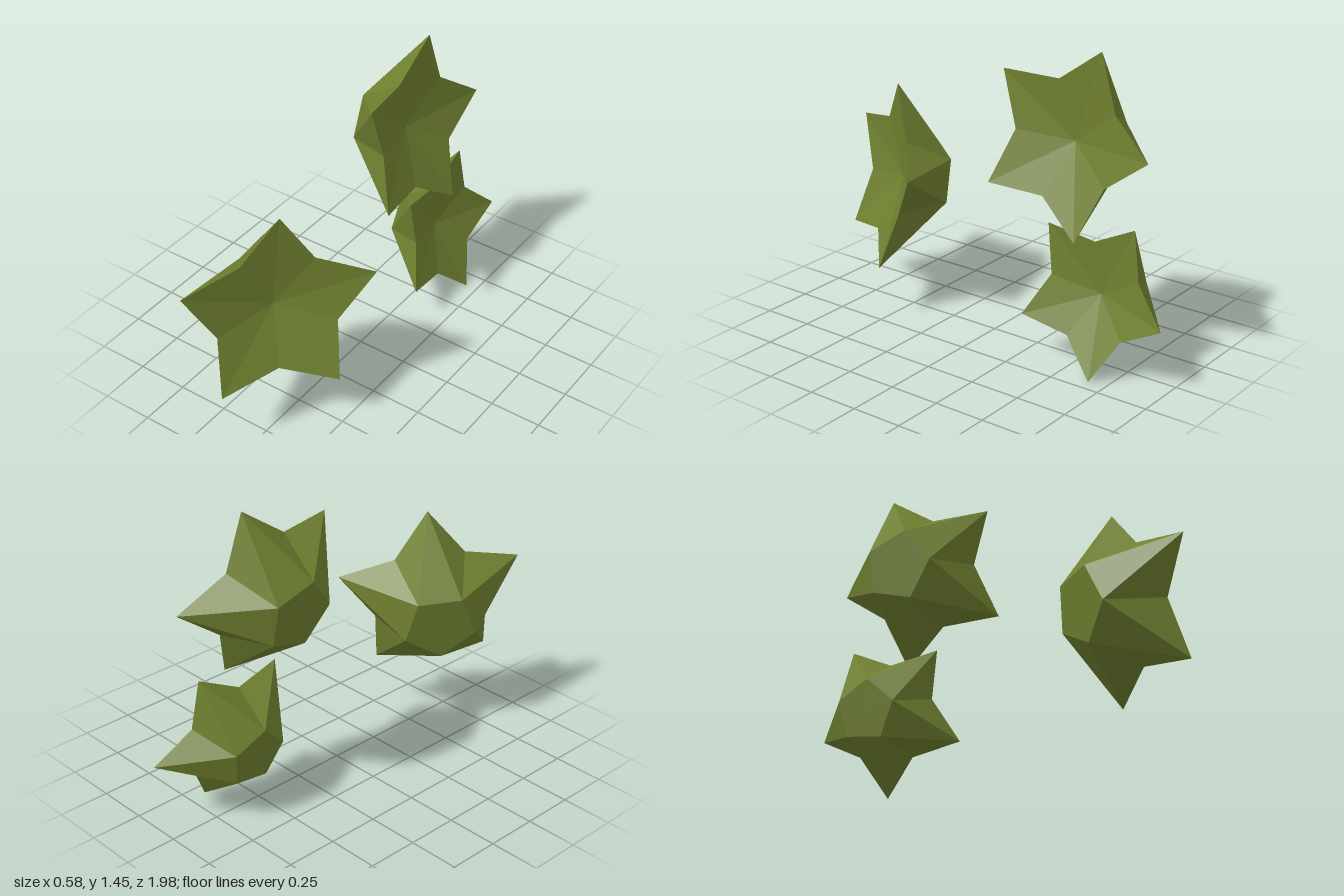
import * as THREE from 'three';

const olive = new THREE.MeshStandardMaterial({ color: 0x6f8030, flatShading: true });
olive.name = 'olive green';

// Five-pointed star cup: dished star on the front, tapering to a flat pentagon behind
function starGeometry() {
  const ring = (radius, depth, turn) => Array.from({ length: 5 }, (_, i) => {
    const a = (i * 72 + turn) * Math.PI / 180;
    return [-Math.sin(a) * radius, Math.cos(a) * radius, depth];
  });
  const tips = ring(1, 0, 0);
  const notches = ring(0.625, -0.09, 36);
  const back = ring(0.385, -0.65, 36);
  const dish = [0, 0, -0.247], backCentre = [0, 0, -0.65];
  const pos = [];
  const tri = (...corners) => corners.forEach(p => pos.push(...p));
  for (let i = 0; i < 5; i++) {
    const next = (i + 1) % 5, prev = (i + 4) % 5;
    // dished front
    tri(dish, tips[i], notches[i]);
    tri(dish, notches[i], tips[next]);
    // sides of each point
    tri(notches[i], tips[i], back[i]);
    tri(tips[next], notches[i], back[i]);
    tri(back[i], tips[i], back[prev]);
    // back pentagon
    tri(backCentre, back[i], back[prev]);
  }
  const g = new THREE.BufferGeometry();
  g.setAttribute('position', new THREE.Float32BufferAttribute(pos, 3));
  g.computeVertexNormals();
  return g;
}

export function createModel() {
  const group = new THREE.Group();
  group.name = 'starCluster';
  const geometry = starGeometry();

  // centre of the tips, facing direction, direction of the first tip, tip radius
  const stars = [
    ['frontStar', [0.041, 0.649, 0.662], [0.80, 0.19, 0.57], [-0.05, 0.455, -0.08], 0.465],
    ['upperBackStar', [0.07, 1.034, -0.417], [0.98, 0.199, 0.005], [-0.19, 0.943, -0.332], 0.446],
    ['lowerBackStar', [0.111, 0.366, -0.608], [0.977, 0.213, 0.009], [-0.19, 0.88, -0.475], 0.385],
  ];
  for (const [name, centre, facing, tip, radius] of stars) {
    const n = new THREE.Vector3(...facing).normalize();
    const up = new THREE.Vector3(...tip).projectOnPlane(n).normalize();
    const side = new THREE.Vector3().crossVectors(up, n);
    const mesh = new THREE.Mesh(geometry, olive);
    mesh.name = name;
    mesh.position.set(...centre);
    mesh.quaternion.setFromRotationMatrix(new THREE.Matrix4().makeBasis(side, up, n));
    mesh.scale.setScalar(radius);
    group.add(mesh);
  }
  return group;
}
